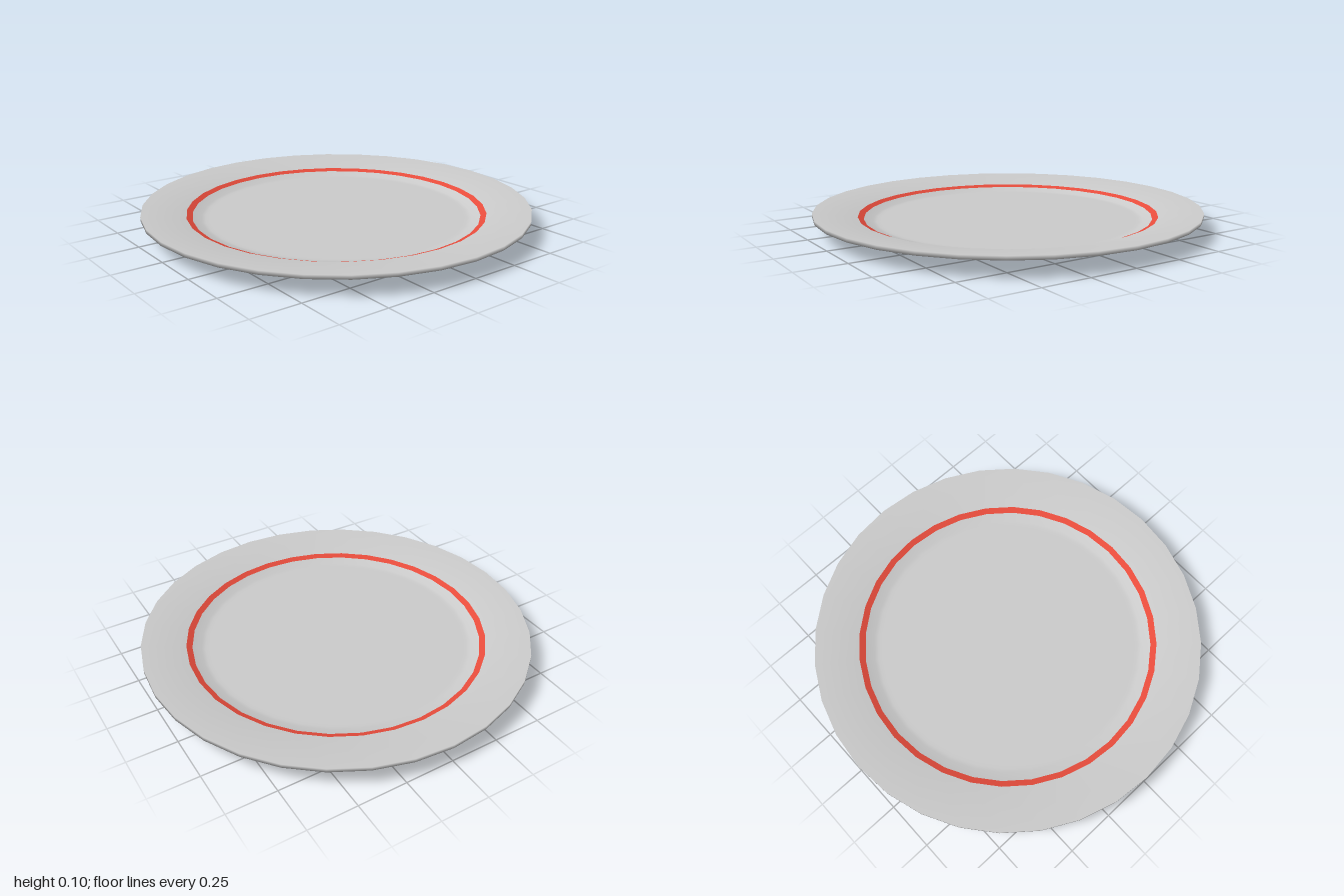
import * as THREE from 'three';

const SEGMENTS = 32;

function lathe(name, profile, color) {
  const points = profile.map(([r, y]) => new THREE.Vector2(r, y));
  const mesh = new THREE.Mesh(
    new THREE.LatheGeometry(points, SEGMENTS),
    new THREE.MeshStandardMaterial({ color })
  );
  mesh.name = name;
  return mesh;
}

export function createModel() {
  const plate = new THREE.Group();
  plate.name = 'plate';

  // Underside with a low foot, thin rim edge, sloping lip and flat well
  plate.add(lathe('plateBody', [
    [0, 0.005], [0.66, 0.005], [0.675, 0.005], [0.682, 0], [0.695, 0],
    [0.72, 0.007], [0.8, 0.035], [1, 0.08],
    [1, 0.1], [0.775, 0.068], [0.745, 0.057],
    [0.7, 0.043], [0.68, 0.041], [0.66, 0.041], [0, 0.041],
  ], 0xcccccc));

  // Painted stripe around the well, just proud of the slope
  plate.add(lathe('stripe', [[0.775, 0.0695], [0.745, 0.0585]], 0xe74c3c));

  return plate;
}
